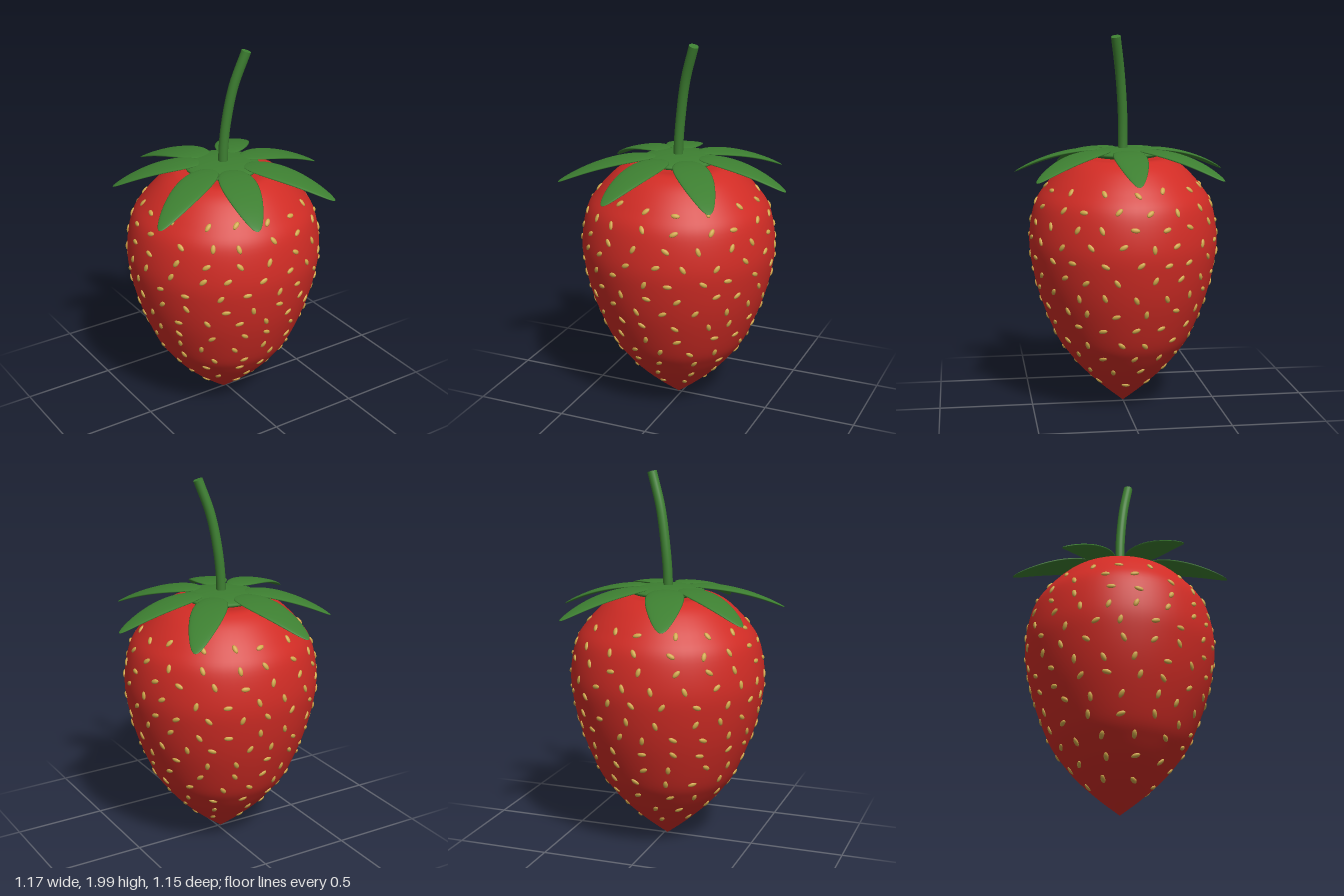
import * as THREE from 'three';
import { mergeGeometries, mergeVertices } from 'three/addons/utils/BufferGeometryUtils.js';

const CX = -0.018, DEPTH = 0.965;

function seededRandom(seed) {
  return () => {
    seed = (seed * 16807) % 2147483647;
    return seed / 2147483647;
  };
}

// Leaf: a flattened ellipsoid, widest near its base, drooping towards the tip
function leafGeometry(start, end, halfWidth) {
  let geo = new THREE.SphereGeometry(1, 20, 28).rotateZ(-Math.PI / 2);
  geo.deleteAttribute('uv');
  geo.deleteAttribute('normal');
  geo = mergeVertices(geo, 1e-4);
  const p = geo.attributes.position;
  for (let i = 0; i < p.count; i++) {
    const t = p.getX(i), u = (t + 1) / 2;
    p.setXYZ(
      i,
      start + (end - start) * u,
      1.388 - 0.13 * u * u + p.getY(i) * 0.012,
      p.getZ(i) * halfWidth * (1 - 0.33 * t)
    );
  }
  geo.computeVertexNormals();
  return geo;
}

export function createModel() {
  const model = new THREE.Group();
  const material = (name, color) => {
    const m = new THREE.MeshStandardMaterial({ color });
    m.name = name;
    return m;
  };
  const red = material('berry red', 0xd12c25);
  const green = material('leaf green', 0x3d7f31);
  const gold = material('seed gold', 0xd0a84a);
  const add = (name, geo, mat, parent = model) => {
    const mesh = new THREE.Mesh(geo, mat);
    mesh.name = name;
    parent.add(mesh);
    return mesh;
  };

  // Fruit body, with a shallow dimple under the crown
  const profile = new THREE.SplineCurve([
    [0, 0], [0.12, 0.095], [0.235, 0.2], [0.32, 0.3], [0.385, 0.4], [0.465, 0.6],
    [0.51, 0.78], [0.523, 0.93], [0.493, 1.1], [0.43, 1.2], [0.35, 1.285],
    [0.285, 1.33], [0.23, 1.345], [0.13, 1.33], [0, 1.315]
  ].map(([r, y]) => new THREE.Vector2(r, y))).getPoints(84);
  profile.forEach(p => { p.x = Math.max(p.x, 0); p.y = Math.max(p.y, 0); });
  const body = add('fruitBody', new THREE.LatheGeometry(profile, 64), red);
  body.position.x = CX;
  body.scale.z = DEPTH;

  // Seeds in staggered rows, each lying on the skin with its own roll
  const rand = seededRandom(4711);
  const seeds = [];
  for (let row = 0; row < 13; row++) {
    const y0 = 0.14 + row * 0.0885;
    const rowRadius = profile[profile.findIndex(p => p.y >= y0)].x;
    const count = Math.max(5, Math.round(2 * Math.PI * rowRadius / 0.165));
    for (let i = 0; i < count; i++) {
      const y = y0 + (rand() - 0.5) * 0.02;
      const a = (i + (row % 2) * 0.5 + (rand() - 0.5) * 0.3) / count * Math.PI * 2;
      const k = profile.findIndex(p => p.y >= y);
      const lo = profile[k - 1], hi = profile[k];
      const r = lo.x + (hi.x - lo.x) * (y - lo.y) / (hi.y - lo.y);
      const normal = new THREE.Vector3(
        Math.cos(a) * (hi.y - lo.y), lo.x - hi.x, Math.sin(a) * (hi.y - lo.y) / DEPTH
      ).normalize();
      const turn = new THREE.Quaternion()
        .setFromUnitVectors(new THREE.Vector3(0, 0, 1), normal)
        .multiply(new THREE.Quaternion().setFromAxisAngle(
          new THREE.Vector3(0, 0, 1), rand() * Math.PI));
      const place = new THREE.Matrix4().compose(
        new THREE.Vector3(CX + r * Math.cos(a), y, DEPTH * r * Math.sin(a)),
        turn,
        new THREE.Vector3(0.024, 0.0125, 0.009)
      );
      seeds.push(new THREE.SphereGeometry(1, 10, 8).applyMatrix4(place));
    }
  }
  add('seeds', mergeGeometries(seeds), gold);

  // Crown disc
  const crown = add('crownDisc', new THREE.SphereGeometry(1, 40, 16), green);
  crown.scale.set(0.2, 0.03, 0.2);
  crown.position.set(CX, 1.368, -0.01);

  // Crown leaves: tip x and z from the crown centre, half width
  const leaves = new THREE.Group();
  leaves.name = 'crownLeaves';
  model.add(leaves);
  [
    [0.6, 0, 0.083], [0.42, -0.465, 0.085], [-0.17, -0.575, 0.095], [-0.5, -0.3, 0.083],
    [-0.565, 0.3, 0.085], [-0.17, 0.57, 0.092], [0.37, 0.485, 0.09]
  ].forEach(([x, z, w]) => {
    const leaf = add('leaf', leafGeometry(0.115, Math.hypot(x, z), w), green, leaves);
    leaf.rotation.y = Math.atan2(-z, x);
    leaf.position.x = CX;
  });

  // Curved stem with a flat cut end
  const path = new THREE.CatmullRomCurve3([
    [-0.02, 1.34, 0], [-0.018, 1.45, 0], [-0.004, 1.6, 0.004],
    [0.03, 1.8, 0.022], [0.088, 1.985, 0.051]
  ].map(p => new THREE.Vector3(...p)));
  add('stem', new THREE.TubeGeometry(path, 32, 0.0255, 20), green);
  const cut = add('stemEnd', new THREE.CircleGeometry(0.0255, 20), green);
  cut.position.copy(path.getPoint(1));
  cut.quaternion.setFromUnitVectors(new THREE.Vector3(0, 0, 1), path.getTangent(1));

  return model;
}
